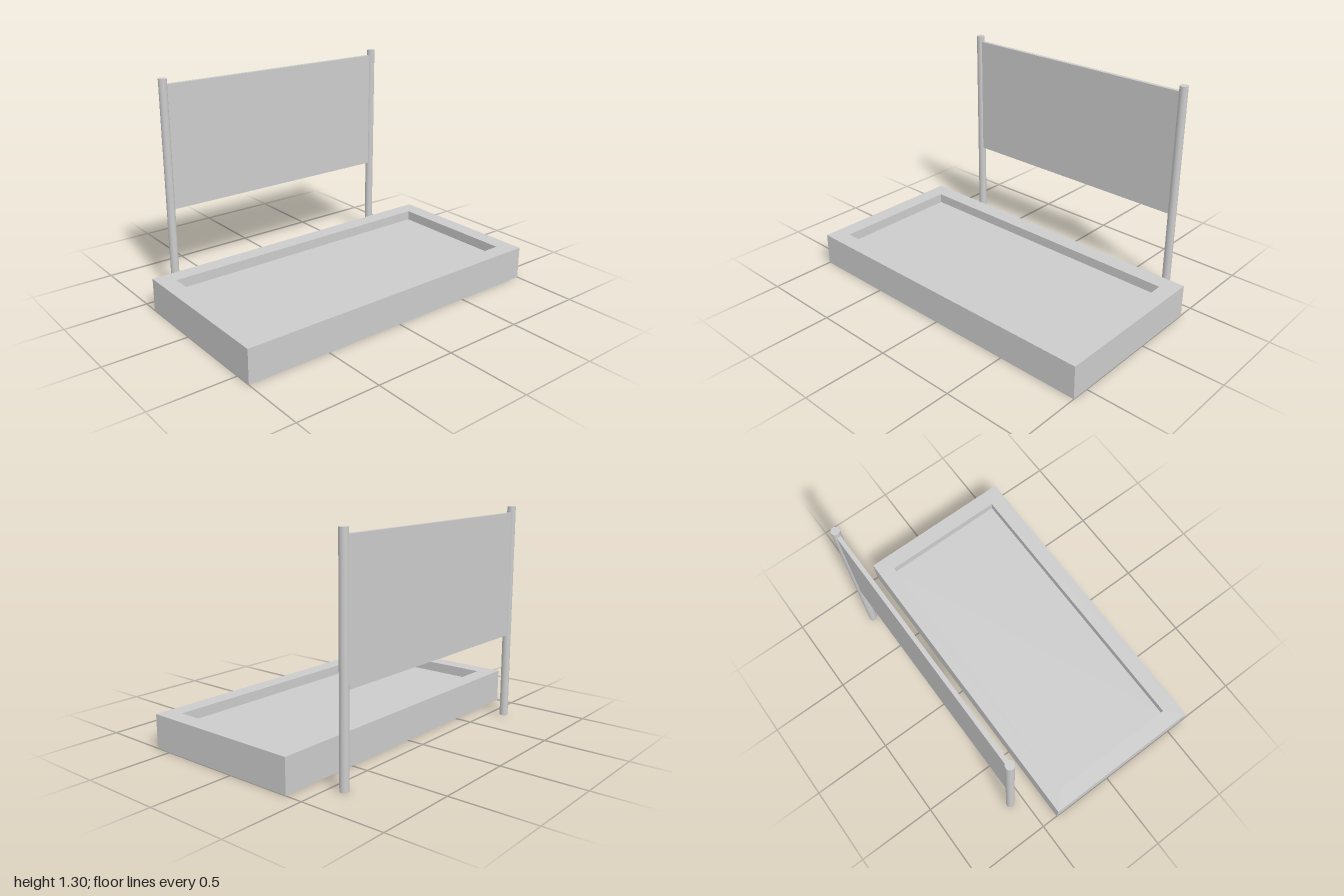
import * as THREE from 'three';

const material = new THREE.MeshStandardMaterial({ color: 0xcccccc });

function addPart(parent, name, geometry, x, y, z) {
  const mesh = new THREE.Mesh(geometry, material);
  mesh.name = name;
  mesh.position.set(x, y, z);
  parent.add(mesh);
  return mesh;
}

// Rectangle path centred on the origin
function rectangle(path, w, h) {
  return path.moveTo(-w / 2, -h / 2).lineTo(w / 2, -h / 2)
    .lineTo(w / 2, h / 2).lineTo(-w / 2, h / 2).closePath();
}

export function createModel() {
  const group = new THREE.Group();
  const trayHeight = 0.2, floorHeight = 0.14, trayZ = 0.104;
  const screenX = 0.006, screenZ = -0.579;

  // Tray: a rectangular rim around a sunken floor
  const tray = new THREE.Group();
  tray.name = 'tray';
  tray.position.z = trayZ;
  const outline = rectangle(new THREE.Shape(), 2, 1);
  outline.holes.push(rectangle(new THREE.Path(), 1.8, 0.8));
  const rim = new THREE.ExtrudeGeometry(outline, { depth: trayHeight, bevelEnabled: false });
  rim.rotateX(-Math.PI / 2);
  addPart(tray, 'trayRim', rim, 0, 0, 0);
  addPart(tray, 'trayFloor', new THREE.BoxGeometry(1.8, floorHeight, 0.8), 0, floorHeight / 2, 0);
  group.add(tray);

  // Screen hung between two free-standing round posts
  const postHeight = 1.3;
  const post = new THREE.CylinderGeometry(0.025, 0.025, postHeight, 32);
  for (const [name, side] of [['leftPost', 1], ['rightPost', -1]]) {
    addPart(group, name, post, screenX + side * 0.77, postHeight / 2, screenZ);
  }
  addPart(group, 'screenPanel', new THREE.BoxGeometry(1.5, 0.75, 0.024), screenX, 0.89, screenZ);

  return group;
}
